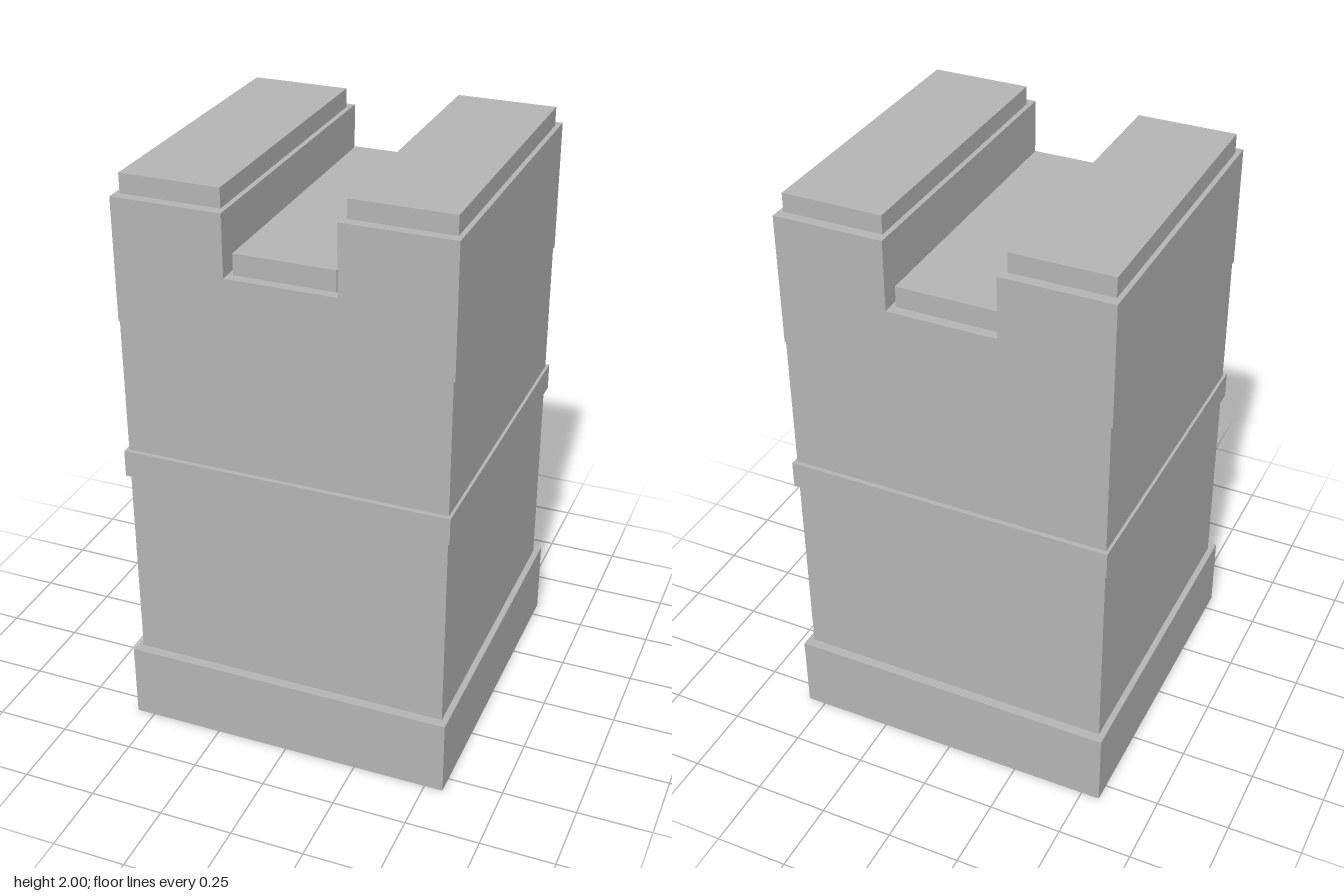
import * as THREE from 'three';

export function createModel() {
  const group = new THREE.Group();
  group.name = 'crenellatedTower';
  const stone = new THREE.MeshStandardMaterial({ color: 0xb4b4b4 });
  stone.name = 'grey stone';

  function add(name, geometry) {
    const mesh = new THREE.Mesh(geometry, stone);
    mesh.name = name;
    group.add(mesh);
  }

  // Block given by its x centre, width, depth and bottom and top heights
  function block(name, x, width, depth, y0, y1) {
    const geometry = new THREE.BoxGeometry(width, y1 - y0, depth);
    geometry.translate(x, (y0 + y1) / 2, 0);
    add(name, geometry);
  }

  // Plinth and middle string course
  block('plinth', 0, 1.126, 1.126, 0, 0.265);
  block('stringCourse', 0, 1.104, 1.092, 0.952, 1.044);

  // Shaft with slightly wider notched head, extruded front to back
  const depth = 1.06;
  const outline = [
    [-0.542, 0.265], [0.542, 0.265], [0.542, 1.5], [0.547, 1.5],
    [0.547, 1.938], [0.182, 1.938], [0.182, 1.704], [-0.182, 1.704],
    [-0.182, 1.91], [-0.547, 1.91], [-0.547, 1.5], [-0.542, 1.5],
  ].map(([x, y]) => new THREE.Vector2(x, y));
  const tower = new THREE.ExtrudeGeometry(new THREE.Shape(outline), { depth, bevelEnabled: false });
  tower.translate(0, 0, -depth / 2);
  add('towerBody', tower);

  // Inset cap slabs on the two merlons and the gap between them
  block('rightMerlonCap', -0.365, 0.332, 0.992, 1.91, 1.975);
  block('crenelSlab', 0, 0.332, 0.992, 1.704, 1.774);
  block('leftMerlonCap', 0.365, 0.332, 0.992, 1.938, 2);

  return group;
}
